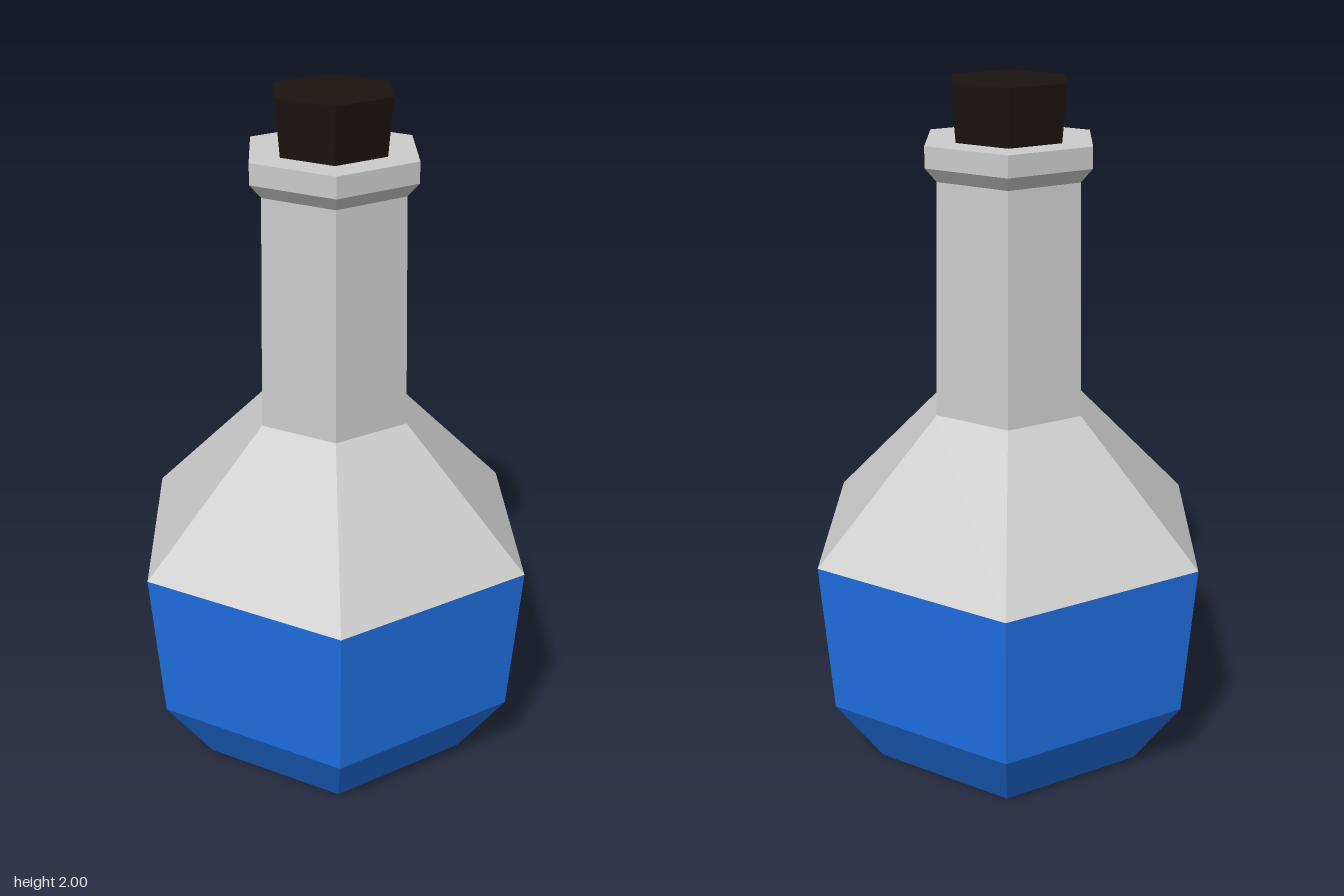
import * as THREE from 'three';

const SIDES = 6;
const TURN = THREE.MathUtils.degToRad(39.2);

// Six-sided flat-shaded solid from a [radius, height] profile, bottom to top
function facetedPart(name, color, profile) {
  const points = profile.map(([r, y]) => new THREE.Vector2(r, y));
  const mesh = new THREE.Mesh(
    new THREE.LatheGeometry(points, SIDES, TURN),
    new THREE.MeshStandardMaterial({ color, flatShading: true })
  );
  mesh.name = name;
  return mesh;
}

export function createModel() {
  const bottle = new THREE.Group();
  bottle.name = 'potionBottle';

  // Liquid-filled lower body with a closed base
  bottle.add(facetedPart('liquidBody', 0x1f6fe0, [
    [0, 0], [0.44, 0], [0.587, 0.215], [0.622, 0.675],
  ]));

  // Sloping shoulder, tapering neck and flared lip
  bottle.add(facetedPart('shoulderNeckAndLip', 0xcccccc, [
    [0.622, 0.675], [0.238, 1.07], [0.225, 1.74],
    [0.26, 1.78], [0.26, 1.84], [0, 1.84],
  ]));

  // Stopper, wider at the top
  bottle.add(facetedPart('stopper', 0x1a1310, [
    [0, 1.8], [0.162, 1.8], [0.18, 2], [0, 2],
  ]));

  return bottle;
}
